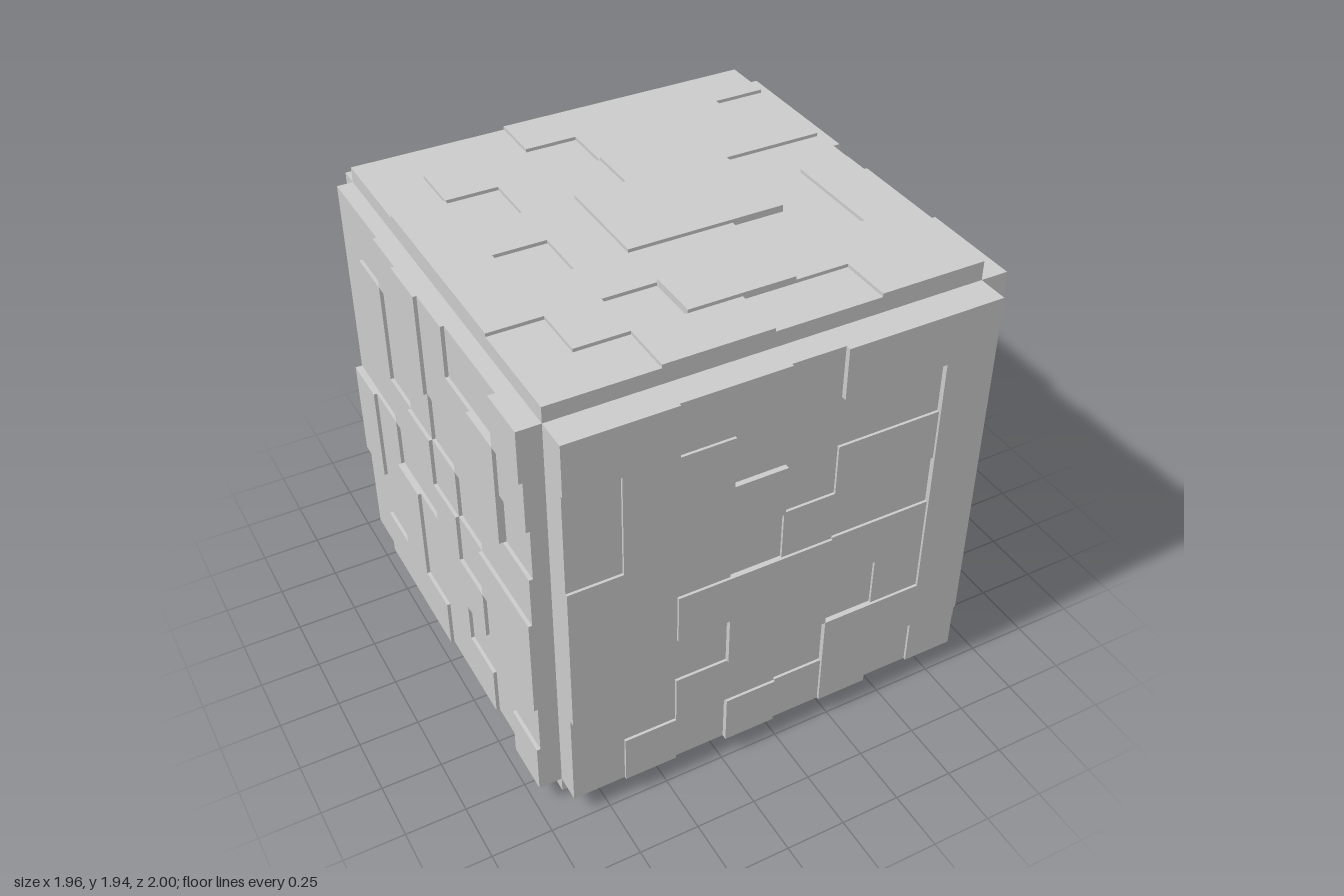
import * as THREE from 'three';
import { mergeGeometries } from 'three/addons/utils/BufferGeometryUtils.js';

const N = 8, SIZE = 1.754, CELL = SIZE / N;
const CENTRE = new THREE.Vector3(-0.0125, 0.9725, -0.0125);

// Small seeded generator for the panels with a free pattern
function seededLevels(seed) {
  let s = seed;
  const next = () => (s = (s * 16807) % 2147483647) / 2147483647;
  return Array.from({ length: N }, () =>
    Array.from({ length: N }, () => Math.floor(next() * 3)).join(''));
}

// Each panel: direction to its right, its up, lowest and highest relief, and rows of
// relief levels (0 to 2) from its top left corner
const PANELS = [
  { name: 'frontPanel', right: [1, 0, 0], up: [0, 1, 0], low: 0.986, high: 1.008,
    rows: ['22110222', '12200002', '12220112', '21101002', '21222112', '20022012', '00110222', '01021201'] },
  { name: 'leftPanel', right: [0, 0, -1], up: [0, 1, 0], low: 0.962, high: 0.992,
    rows: ['22110222', '00002222', '01222000', '01122100', '00021120', '11001201', '20120012', '22221120'] },
  { name: 'topPanel', right: [1, 0, 0], up: [0, 0, -1], low: 0.943, high: 0.972,
    rows: ['00011111', '01001110', '10112211', '11122200', '10122201', '11111001', '01022111', '00110011'] },
  { name: 'backPanel', right: [-1, 0, 0], up: [0, 1, 0], low: 0.963, high: 0.987, rows: seededLevels(71) },
  { name: 'rightPanel', right: [0, 0, 1], up: [0, 1, 0], low: 0.943, high: 0.972, rows: seededLevels(1234) },
  { name: 'bottomPanel', right: [1, 0, 0], up: [0, 0, 1], low: 0.945, high: 0.972, rows: seededLevels(905) },
];

// A square field of blocks standing out from one face of the core
function makePanel({ name, right, up, low, high, rows }, material) {
  const blocks = [];
  rows.forEach((row, r) => [...row].forEach((level, c) => {
    const height = low + (high - low) * level / 2 - SIZE / 2;
    blocks.push(new THREE.BoxGeometry(CELL, CELL, height).translate(
      (c + 0.5) * CELL - SIZE / 2, SIZE / 2 - (r + 0.5) * CELL, SIZE / 2 + height / 2));
  }));
  const mesh = new THREE.Mesh(mergeGeometries(blocks), material);
  const x = new THREE.Vector3(...right), y = new THREE.Vector3(...up);
  const z = new THREE.Vector3().crossVectors(x, y);
  mesh.quaternion.setFromRotationMatrix(new THREE.Matrix4().makeBasis(x, y, z));
  mesh.position.copy(CENTRE);
  mesh.name = name;
  return mesh;
}

export function createModel() {
  const group = new THREE.Group();
  group.name = 'panelledCube';
  const material = new THREE.MeshStandardMaterial({ color: 0xcccccc, flatShading: true });

  // Core cube, seen at the notched edges
  const core = new THREE.Mesh(new THREE.BoxGeometry(SIZE, SIZE, SIZE), material);
  core.position.copy(CENTRE);
  core.name = 'core';
  group.add(core);

  // Relief panels on all six faces
  for (const panel of PANELS) group.add(makePanel(panel, material));
  return group;
}
